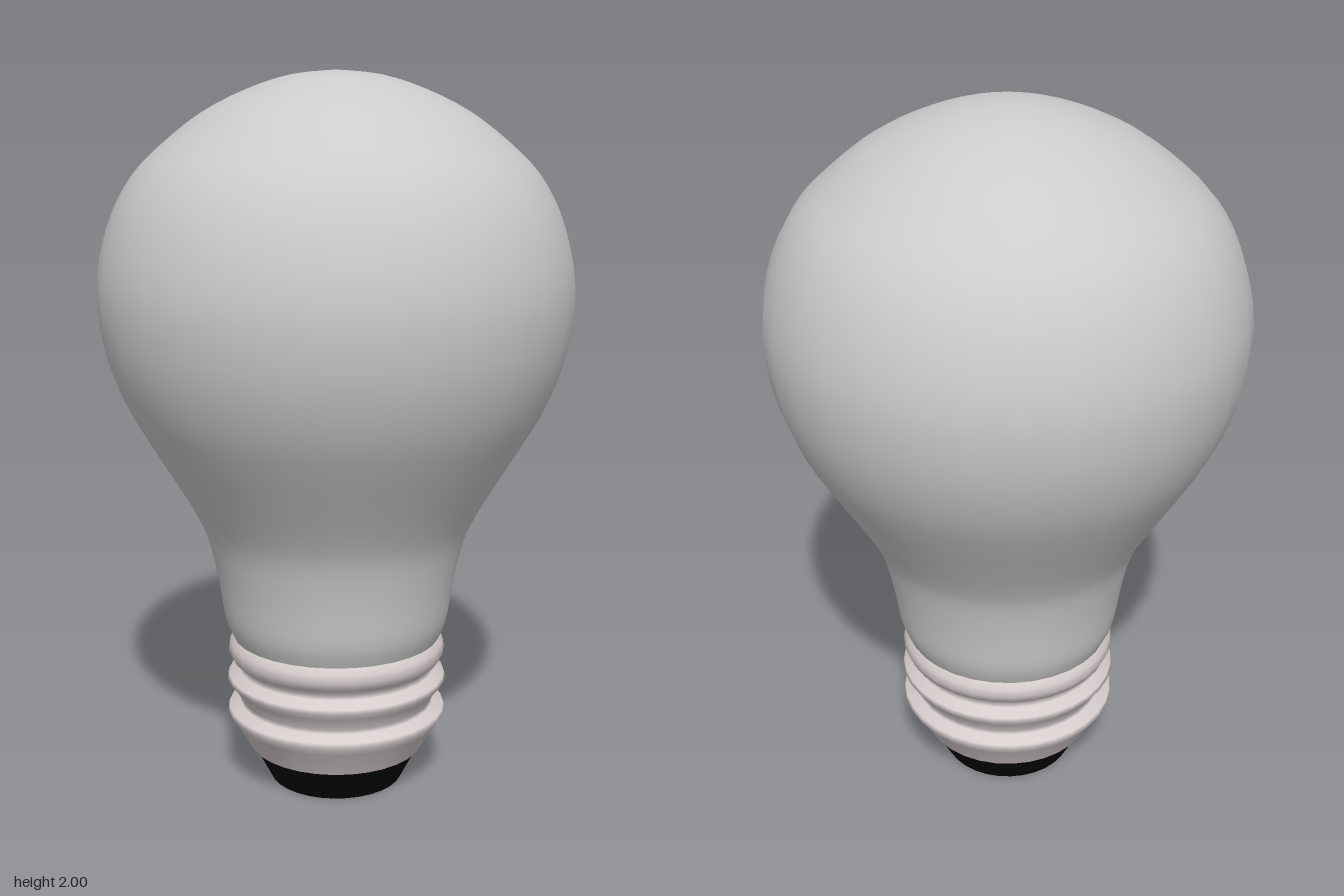
import * as THREE from 'three';

const SEGMENTS = 32;

// Revolves a profile of [radius, height] pairs, listed from bottom to top.
function turned(name, profile, color, smoothSteps = 0) {
  let points = profile.map(([r, y]) => new THREE.Vector2(r, y));
  if (smoothSteps) points = new THREE.SplineCurve(points).getPoints(smoothSteps);
  points.forEach((p) => { p.x = Math.max(p.x, 0); });
  const mesh = new THREE.Mesh(
    new THREE.LatheGeometry(points, SEGMENTS),
    new THREE.MeshStandardMaterial({ color, side: THREE.DoubleSide })
  );
  mesh.name = name;
  return mesh;
}

export function createModel() {
  const group = new THREE.Group();
  group.name = 'lightBulb';

  // Glass envelope: narrow neck swelling into a rounded globe
  group.add(turned('glassBulb', [
    [0.295, 0.43], [0.318, 0.49], [0.335, 0.6], [0.362, 0.72], [0.397, 0.8],
    [0.455, 0.9], [0.522, 1.01], [0.582, 1.12], [0.628, 1.25], [0.648, 1.39],
    [0.638, 1.51], [0.602, 1.63], [0.545, 1.73], [0.465, 1.81], [0.36, 1.89],
    [0.24, 1.95], [0.12, 1.988], [0, 2.0],
  ], 0xcccccc, 51));

  // Threaded metal cap
  group.add(turned('screwCap', [
    [0.25, 0.1], [0.272, 0.14], [0.298, 0.18], [0.314, 0.205], [0.31, 0.218],
    [0.278, 0.232], [0.274, 0.243], [0.296, 0.28], [0.314, 0.303], [0.31, 0.315],
    [0.282, 0.333], [0.274, 0.345], [0.299, 0.365], [0.31, 0.39], [0.306, 0.412],
    [0.293, 0.428],
  ], 0xd6cccc));

  // Flat rim closing the top of the cap against the neck
  group.add(turned('capRim', [[0.293, 0.428], [0.27, 0.43]], 0xd6cccc));

  // Underside of the cap around the insulator
  group.add(turned('capUnderside', [[0.2, 0.1], [0.25, 0.1]], 0xd6cccc));

  // Black tapered insulator with a flat foot
  const insulator = new THREE.Mesh(
    new THREE.CylinderGeometry(0.242, 0.19, 0.1, SEGMENTS),
    new THREE.MeshStandardMaterial({ color: 0x050505 })
  );
  insulator.position.y = 0.05;
  insulator.name = 'insulator';
  group.add(insulator);

  return group;
}
